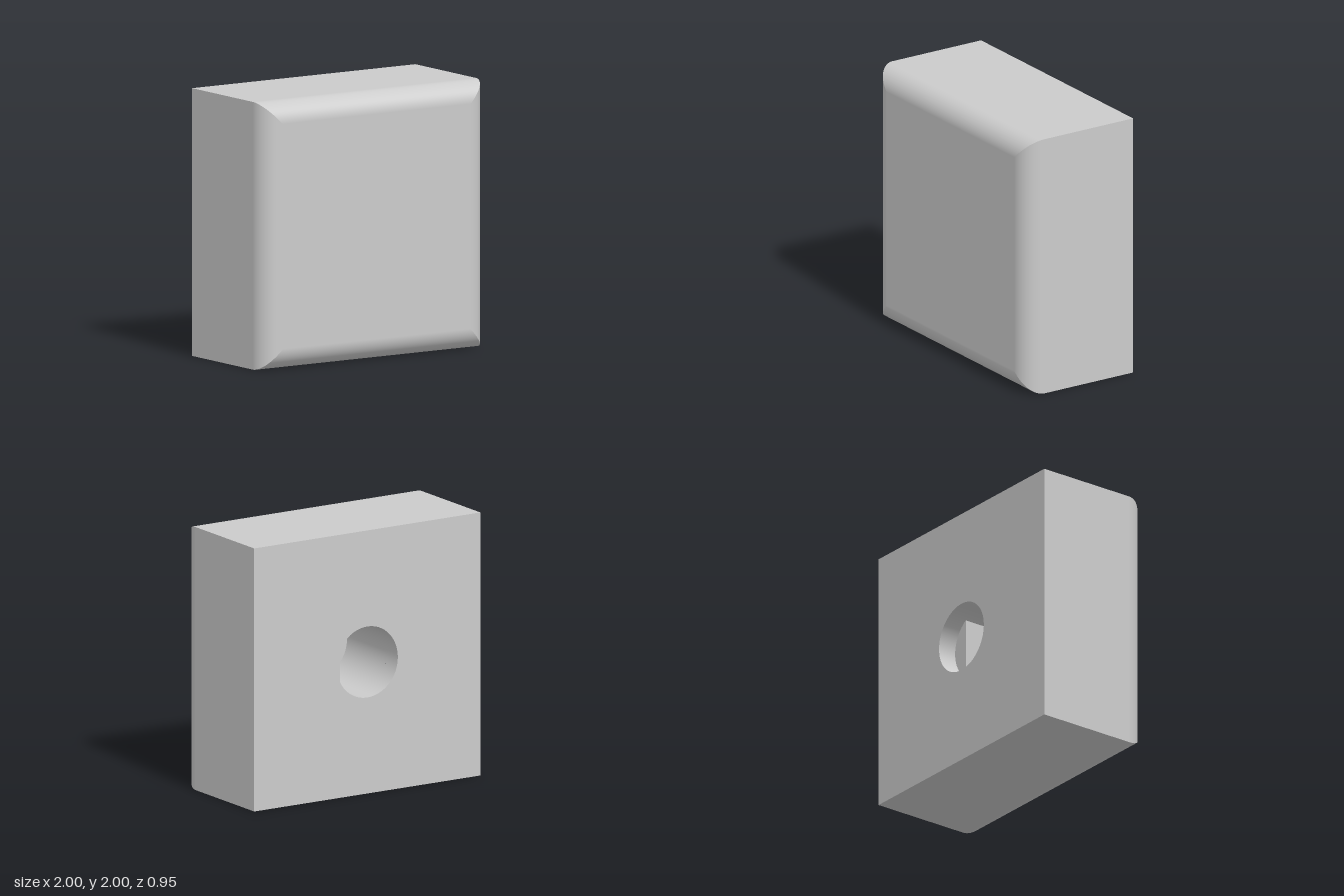
import * as THREE from 'three';

const HALF = 1;            // half of the square face
const BACK = -0.475, FRONT = 0.475;
const FILLET = 0.16;       // rounding of the front edges
const BORE = 0.27;         // radius of the shaft hole
const STEP = BACK + 0.15;  // where the hole becomes D-shaped
const FLOOR = BACK + 0.68; // bottom of the hole
const FLAT = 0.142;        // x of the D flat

const material = new THREE.MeshStandardMaterial({ color: 0xcccccc });
const inner = new THREE.MeshStandardMaterial({ color: 0xcccccc, side: THREE.DoubleSide });

function add(group, name, geometry, mat = material) {
  const mesh = new THREE.Mesh(geometry, mat);
  mesh.name = name;
  group.add(mesh);
  return mesh;
}

// One side with its rounded front edge; the ends are mitred to meet the neighbours
function sideGeometry() {
  const profile = [[BACK, HALF, 0]];
  const steps = 16;
  for (let i = 0; i <= steps; i++) {
    const a = (i / steps) * Math.PI / 2;
    profile.push([FRONT - FILLET + FILLET * Math.sin(a), HALF - FILLET + FILLET * Math.cos(a), a]);
  }
  const pos = [], nor = [], idx = [];
  profile.forEach(([z, h, a], i) => {
    for (const s of [-1, 1]) {
      pos.push(h, s * h, z);
      nor.push(Math.cos(a), 0, Math.sin(a));
    }
    if (i) {
      const k = 2 * i;
      idx.push(k - 2, k - 1, k, k - 1, k + 1, k);
    }
  });
  const g = new THREE.BufferGeometry();
  g.setAttribute('position', new THREE.Float32BufferAttribute(pos, 3));
  g.setAttribute('normal', new THREE.Float32BufferAttribute(nor, 3));
  g.setIndex(idx);
  return g;
}

// Part of a cylinder wall along z, between two depths
function boreWall(z0, z1, start, length) {
  return new THREE.CylinderGeometry(BORE, BORE, z1 - z0, 64, 1, true, start, length)
    .rotateX(Math.PI / 2).translate(0, 0, (z0 + z1) / 2);
}

export function createModel() {
  const model = new THREE.Group();
  model.name = 'squareKnob';
  const body = new THREE.Group();
  body.name = 'body';
  body.position.y = HALF;
  model.add(body);

  // Four sides and the front face
  const side = sideGeometry();
  ['rightSide', 'topSide', 'leftSide', 'bottomSide'].forEach((name, i) => {
    add(body, name, side).rotation.z = i * Math.PI / 2;
  });
  const w = 2 * (HALF - FILLET);
  add(body, 'frontFace', new THREE.PlaneGeometry(w, w).translate(0, 0, FRONT));

  // Back face with the round opening
  const back = new THREE.Shape([[-1, -1], [1, -1], [1, 1], [-1, 1]]
    .map(([x, y]) => new THREE.Vector2(x * HALF, y * HALF)));
  back.holes.push(new THREE.Path().absarc(0, 0, BORE, 0, Math.PI * 2, true));
  add(body, 'backFace', new THREE.ShapeGeometry(back, 32).rotateY(Math.PI).translate(0, 0, BACK));

  // Shaft hole: short round mouth, then a D-shaped socket
  const phi = Math.acos(FLAT / BORE);
  add(body, 'holeMouth', boreWall(BACK, STEP, 0, Math.PI * 2), inner);
  add(body, 'socketWall', boreWall(STEP, FLOOR, Math.PI / 2 + phi, 2 * (Math.PI - phi)), inner);
  add(body, 'socketFlat', new THREE.PlaneGeometry(FLOOR - STEP, 2 * BORE * Math.sin(phi))
    .rotateY(-Math.PI / 2).translate(FLAT, 0, (STEP + FLOOR) / 2), inner);

  const ledge = new THREE.Shape().absarc(0, 0, BORE, -phi, phi, false);
  add(body, 'socketLedge', new THREE.ShapeGeometry(ledge, 24).translate(0, 0, STEP), inner);
  const floor = new THREE.Shape().absarc(0, 0, BORE, phi, 2 * Math.PI - phi, false);
  add(body, 'socketFloor', new THREE.ShapeGeometry(floor, 48).translate(0, 0, FLOOR), inner);

  return model;
}
